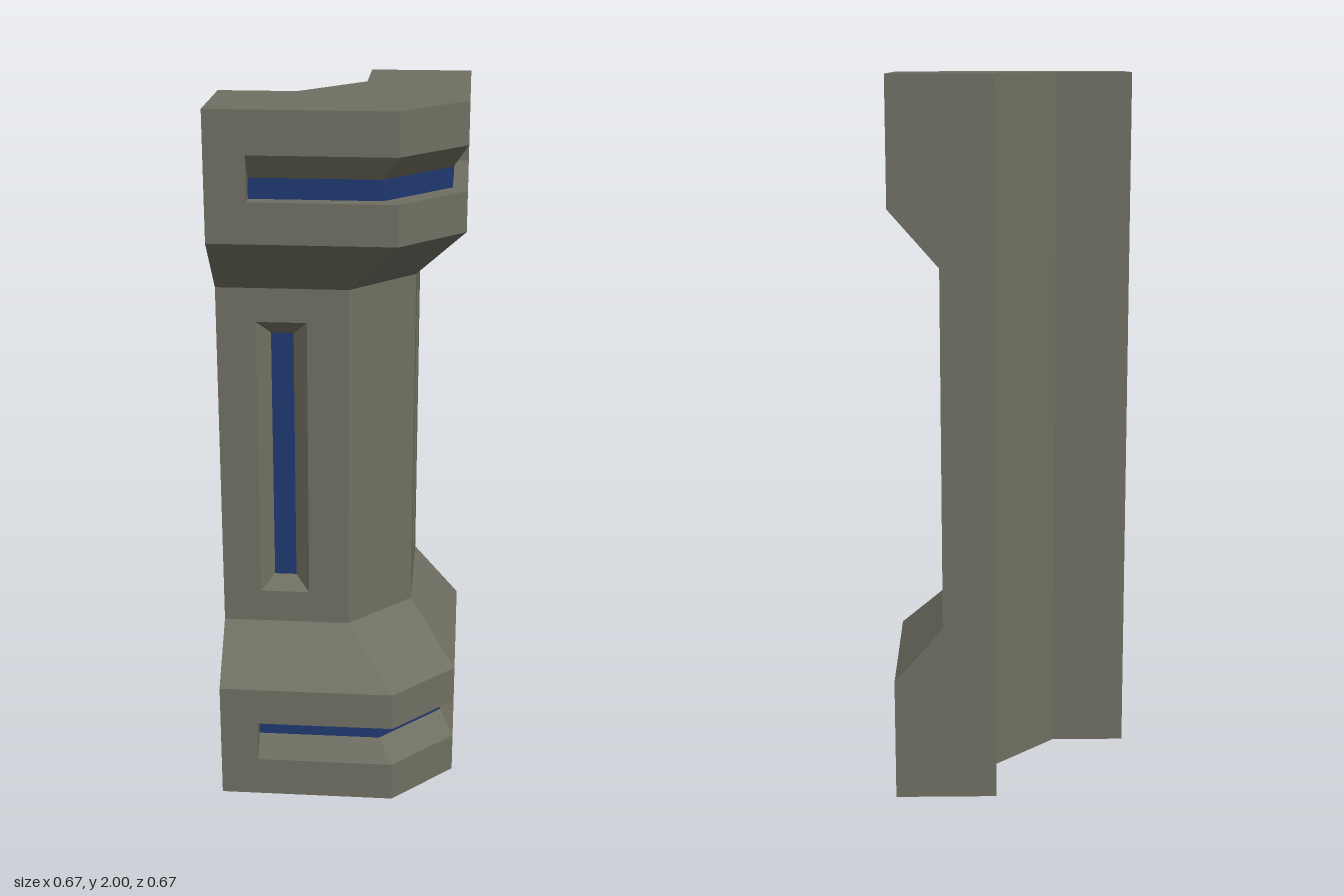
import * as THREE from 'three';

const WIDE = 0.335, SHAFT = 0.199, INNER = 0.052, CHAMFER = 0.173;

// Height rows of the lower half: y, outer face distance, band recess, slot recess
const lower = [
  [0, WIDE, 0, 0],
  [0.115, WIDE, 0, 0],
  [0.18, WIDE, 0.04, 0],
  [0.235, WIDE, 0.04, 0],
  [0.235, WIDE, 0, 0],
  [0.345, WIDE, 0, 0],
  [0.5, SHAFT, 0, 0],
  [0.595, SHAFT, 0, 0],
  [0.635, SHAFT, 0, 0.035],
];
const rows = [...lower, ...lower.map(([y, ...rest]) => [2 - y, ...rest]).reverse()];

// Closed outline at one row: the front wing, then its mirror across x = z
function outline([y, d, r, s]) {
  const half = [
    [-0.123, INNER], [-WIDE, INNER], [-WIDE, d],
    [-0.227, d], [-0.227, d - r],
    [-0.19, d - r - s], [-0.128, d - r - s], [-0.088, d - r],
    [d - r - CHAMFER, d - r],
  ];
  const mirrored = half.map(([x, z]) => [z, x]).reverse();
  return [...half, ...mirrored].map(([x, z]) => new THREE.Vector3(x, y, z));
}

// Which part the wall quad at row j, column i belongs to
function partAt(j, i) {
  const a = rows[j], b = rows[j + 1];
  if (a[2] && b[2] && i >= 4 && i <= 12) return a[0] < 1 ? 'lowerBandLight' : 'upperBandLight';
  if (a[3] && b[3] && i === 5) return 'frontSlotLight';
  if (a[3] && b[3] && i === 11) return 'sideSlotLight';
  return 'pillarBody';
}

export function createModel() {
  const group = new THREE.Group();
  const stone = new THREE.MeshStandardMaterial({ color: 0x6f6f62, flatShading: true });
  const blue = new THREE.MeshStandardMaterial({ color: 0x203870, flatShading: true });
  const parts = {};
  const addTriangle = (name, a, b, c) => {
    const area = new THREE.Vector3().crossVectors(b.clone().sub(a), c.clone().sub(a)).length();
    if (area > 1e-7) (parts[name] ??= []).push(a, b, c);
  };

  // Walls: skin neighbouring rows, folding each quad along its deeper diagonal
  const rings = rows.map(outline);
  const n = rings[0].length;
  for (let j = 0; j < rings.length - 1; j++) {
    for (let i = 0; i < n; i++) {
      const k = (i + 1) % n;
      const a = rings[j][i], b = rings[j][k], c = rings[j + 1][k], d = rings[j + 1][i];
      const name = partAt(j, i);
      const depth = (p) => p.x + p.z;
      const cornerBevel = i === 4 || i === 6 || i === 10 || i === 12;
      const useAC = !cornerBevel ||
        Math.abs(depth(a) - depth(c)) > Math.abs(depth(b) - depth(d)) ===
        (Math.abs(a.x - b.x) > 0 || Math.abs(a.z - b.z) > 0);
      // On slot corners the fold must run through the recessed corner
      const recessed = [a, b, c, d].map((p) => (i < 9 ? p.z : p.x));
      const min = Math.min(...recessed), odd = recessed.filter((v) => v < min + 1e-6).length === 1;
      const foldAC = cornerBevel && odd ? recessed.findIndex((v) => v < min + 1e-6) % 2 === 0 : useAC;
      if (foldAC) {
        addTriangle(name, a, b, c);
        addTriangle(name, a, c, d);
      } else {
        addTriangle(name, a, b, d);
        addTriangle(name, b, c, d);
      }
    }
  }
  for (const [name, points] of Object.entries(parts)) {
    const geometry = new THREE.BufferGeometry().setFromPoints(points);
    geometry.computeVertexNormals();
    const mesh = new THREE.Mesh(geometry, name === 'pillarBody' ? stone : blue);
    mesh.name = name;
    group.add(mesh);
  }

  // Flat end caps
  const corner = WIDE - CHAMFER;
  const plan = [
    [-0.123, INNER], [-WIDE, INNER], [-WIDE, WIDE], [corner, WIDE],
    [WIDE, corner], [WIDE, -WIDE], [INNER, -WIDE], [INNER, -0.123],
  ];
  for (const [name, side, y] of [['topCap', -1, 2], ['bottomCap', 1, 0]]) {
    const shape = new THREE.Shape(plan.map(([x, z]) => new THREE.Vector2(x, side * z)));
    const cap = new THREE.Mesh(new THREE.ShapeGeometry(shape).rotateX(side * Math.PI / 2), stone);
    cap.name = name;
    cap.position.y = y;
    group.add(cap);
  }
  return group;
}
